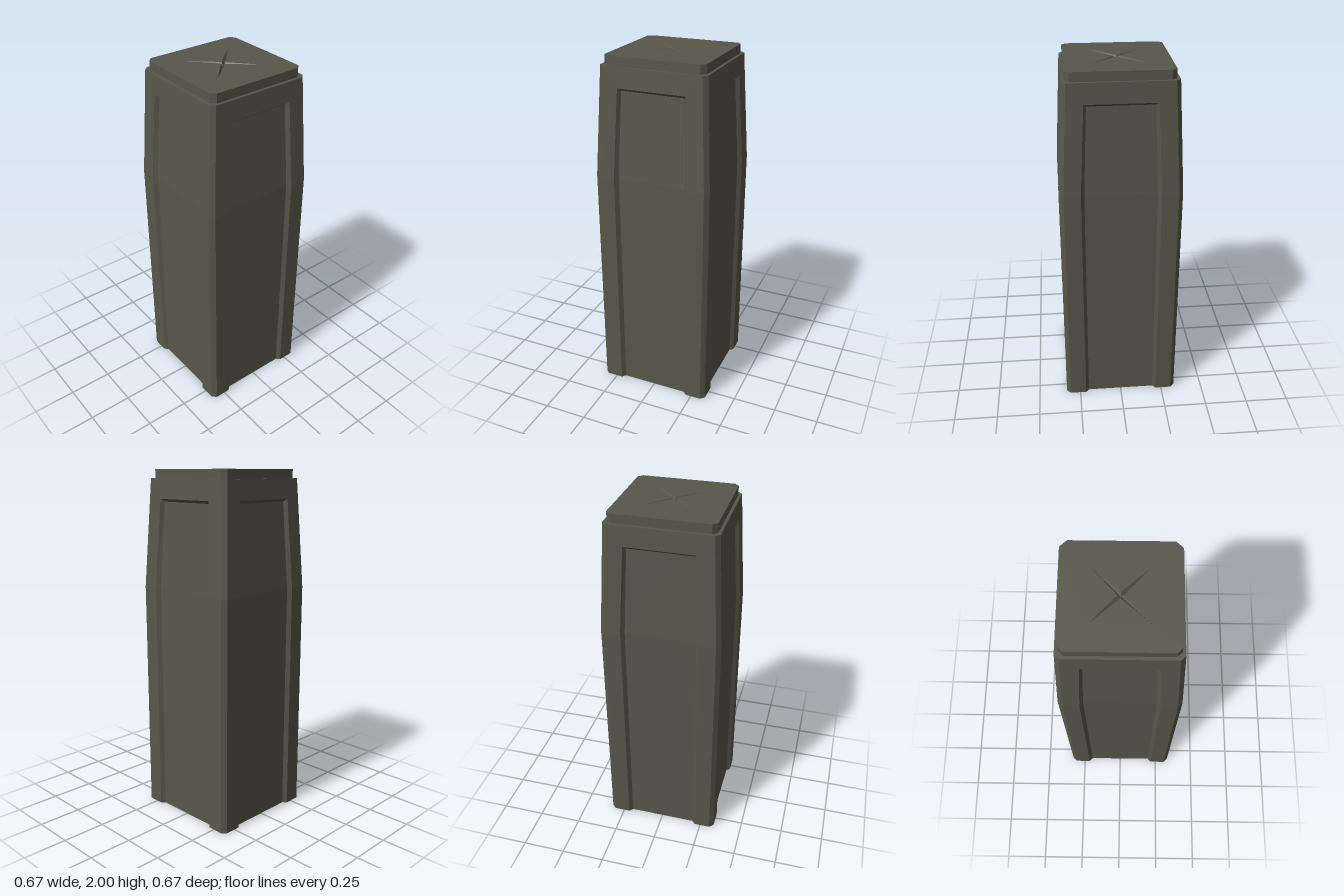
import * as THREE from 'three';

const KINK = 1.34, TOP = 1.95, CAP_TOP = 2;
const DEPTH = 0.021; // recess of the side panels

// half width of the pillar: straight below the kink, tapering above
const half = y => y <= KINK ? 0.333 : 0.333 - 0.033 * (y - KINK) / (TOP - KINK);
const corner = y => half(y) - 0.024;
// point on the front face, sunk by d
const pt = (x, y, d = 0) => [x, y, half(y) - d];

// flat-shaded surface from quads or triangles, counter-clockwise from outside
function surface(faces) {
  const pos = [];
  for (const f of faces)
    for (let i = 1; i < f.length - 1; i++) pos.push(...f[0], ...f[i], ...f[i + 1]);
  const g = new THREE.BufferGeometry();
  g.setAttribute('position', new THREE.Float32BufferAttribute(pos, 3));
  g.computeVertexNormals();
  return g;
}

// mirror faces in x, keeping them facing outwards
const mirror = faces => faces.map(f => f.map(([x, y, z]) => [-x, y, z]).reverse());
const both = faces => [...faces, ...mirror(faces)];

// square with cut corners, counter-clockwise from above
function octagon(h, c, y) {
  return [[c, h], [h, c], [h, -c], [c, -h], [-c, -h], [-h, -c], [-h, c], [-c, h]].map(([x, z]) => [x, y, z]);
}
const band = (lo, hi) => lo.map((p, i) => {
  const j = (i + 1) % lo.length;
  return [p, lo[j], hi[j], hi[i]];
});

export function createModel() {
  const root = new THREE.Group();
  root.name = 'pillar';
  const stone = new THREE.MeshStandardMaterial({ color: 0x58574a, side: THREE.DoubleSide });
  stone.name = 'olive grey';
  const add = (parent, name, geometry) => {
    const m = new THREE.Mesh(geometry, stone);
    m.name = name;
    parent.add(m);
  };

  // opening edge on the surface, and panel edge at the recess: [x, y]
  const outer = [[0.216, 0], [0.216, KINK], [0.191, 1.84]].map(p => pt(...p));
  const inner = [[0.197, 0], [0.197, KINK], [0.177, 1.825]].map(p => pt(...p, DEPTH));
  const edge = [0, KINK, TOP].map(y => pt(corner(y), y));
  const flip = ([x, y, z]) => [-x, y, z];

  const frame = surface([
    ...both([0, 1].map(i => [outer[i], edge[i], edge[i + 1], outer[i + 1]])),
    [flip(outer[2]), outer[2], edge[2], flip(edge[2])],
  ]);
  const bevel = surface([
    ...both([0, 1].map(i => [inner[i], outer[i], outer[i + 1], inner[i + 1]])),
    [flip(inner[2]), inner[2], outer[2], flip(outer[2])],
  ]);
  const panel = surface([0, 1].map(i => [flip(inner[i]), inner[i], inner[i + 1], flip(inner[i + 1])]));
  const turned = edge.map(([x, y, z]) => [z, y, x]);
  const chamfer = surface([0, 1].map(i => [edge[i], turned[i], turned[i + 1], edge[i + 1]]));

  // four equal sides, open at the bottom
  for (let i = 0; i < 4; i++) {
    const side = new THREE.Group();
    side.name = ['front', 'left', 'back', 'right'][i] + 'Side';
    side.rotation.y = i * Math.PI / 2;
    add(side, 'frame', frame);
    add(side, 'panelBevel', bevel);
    add(side, 'panel', panel);
    add(side, 'cornerChamfer', chamfer);
    root.add(side);
  }

  // ledge and raised cap
  const capLow = octagon(0.283, 0.258, TOP);
  add(root, 'ledge', surface(band(octagon(half(TOP), corner(TOP), TOP), capLow)));
  add(root, 'capSides', surface(band(capLow, octagon(0.283, 0.258, CAP_TOP))));

  // cap top with a four-pointed star cut into it
  const star = Array.from({ length: 8 }, (_, i) => {
    const r = i % 2 ? 0.205 : 0.016, a = i * Math.PI / 4;
    return new THREE.Vector2(r * Math.cos(a), r * Math.sin(a));
  });
  const shape = new THREE.Shape(octagon(0.283, 0.258, 0).map(([x, , z]) => new THREE.Vector2(x, -z)));
  shape.holes.push(new THREE.Path(star));
  add(root, 'capTop', new THREE.ShapeGeometry(shape).rotateX(-Math.PI / 2).translate(0, CAP_TOP, 0));
  const rim = star.map(p => [p.x, CAP_TOP, -p.y]);
  add(root, 'starGroove', surface(rim.map((p, i) => [[0, CAP_TOP - 0.02, 0], p, rim[(i + 1) % 8]])));

  return root;
}
